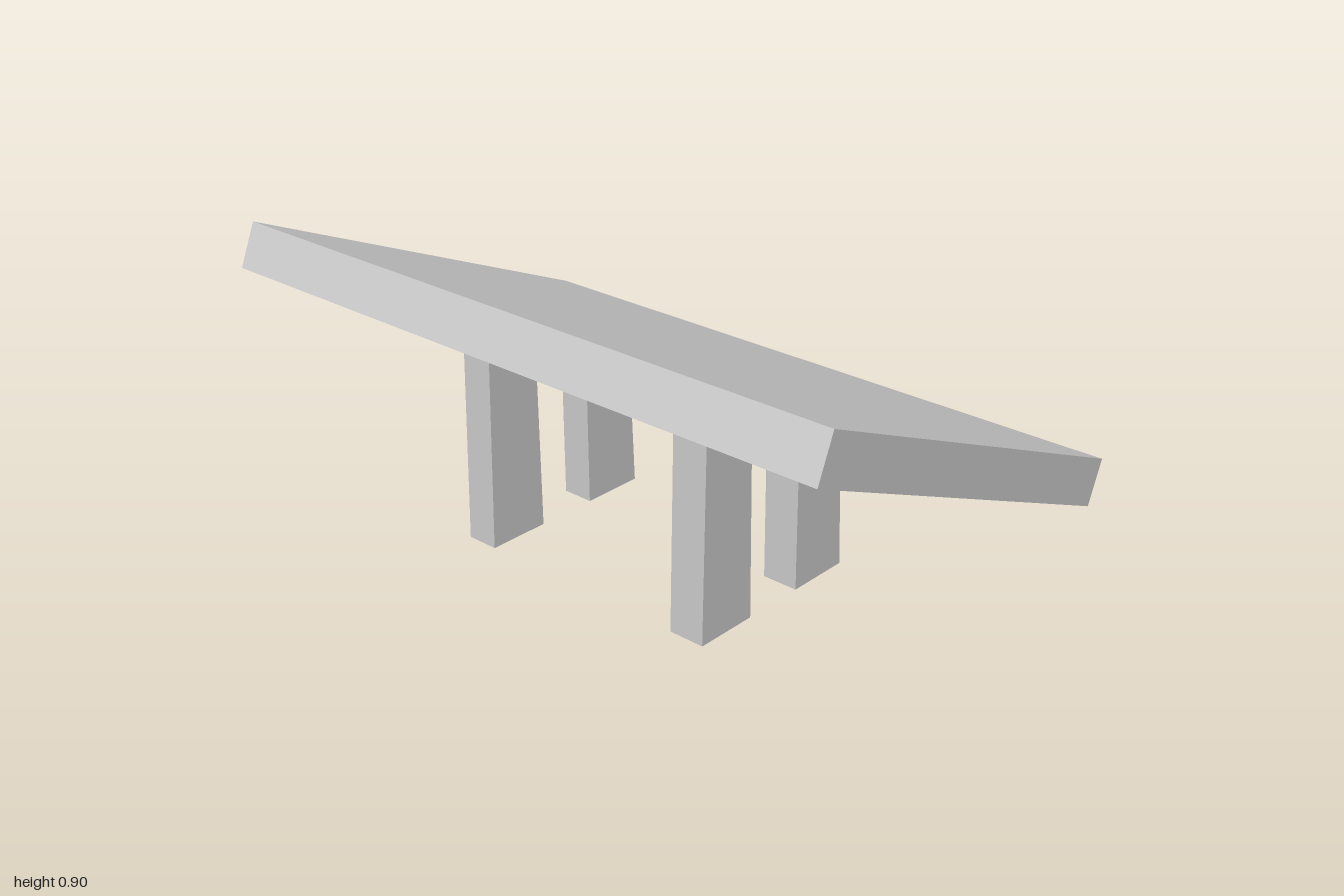
import * as THREE from 'three';
import { ConvexGeometry } from 'three/addons/geometries/ConvexGeometry.js';

const material = new THREE.MeshStandardMaterial({ color: 0xcccccc, flatShading: true });

// Extrudes an x/y outline between two depths
function slab(name, outline, zMin, zMax) {
  const shape = new THREE.Shape(outline.map(([x, y]) => new THREE.Vector2(x, y)));
  const geometry = new THREE.ExtrudeGeometry(shape, { depth: zMax - zMin, bevelEnabled: false });
  geometry.translate(0, 0, zMin);
  const mesh = new THREE.Mesh(geometry, material);
  mesh.name = name;
  return mesh;
}

export function createModel() {
  const model = new THREE.Group();
  model.name = 'tiltedPanel';

  // Thick sloping panel
  model.add(slab('panel', [[-0.63, 0.775], [0.577, 0.263], [0.628, 0.385], [-0.579, 0.897]], -1, 1));

  // Very shallow sag of the underside between the legs
  const sag = [];
  for (const z of [-1, 1]) sag.push([-0.307, 0.638, z], [0.25, 0.402, z]);
  for (const z of [-0.46, 0.42]) sag.push([-0.132, 0.553, z], [0.067, 0.472, z]);
  const underside = new THREE.Mesh(
    new ConvexGeometry(sag.map((p) => new THREE.Vector3(...p))), material);
  underside.name = 'undersideSag';
  model.add(underside);

  // Four slightly tapered legs, with tops cut to the slope
  const legOutlines = {
    tallLeg: [[-0.317, 0], [-0.122, 0], [-0.132, 0.565], [-0.307, 0.639]],
    shortLeg: [[0.072, 0], [0.27, 0], [0.25, 0.403], [0.067, 0.48]],
  };
  const rows = { Front: [0.31, 0.42], Back: [-0.46, -0.36] };
  for (const [leg, outline] of Object.entries(legOutlines)) {
    for (const [row, [zMin, zMax]] of Object.entries(rows)) {
      model.add(slab(leg + row, outline, zMin, zMax));
    }
  }
  return model;
}
